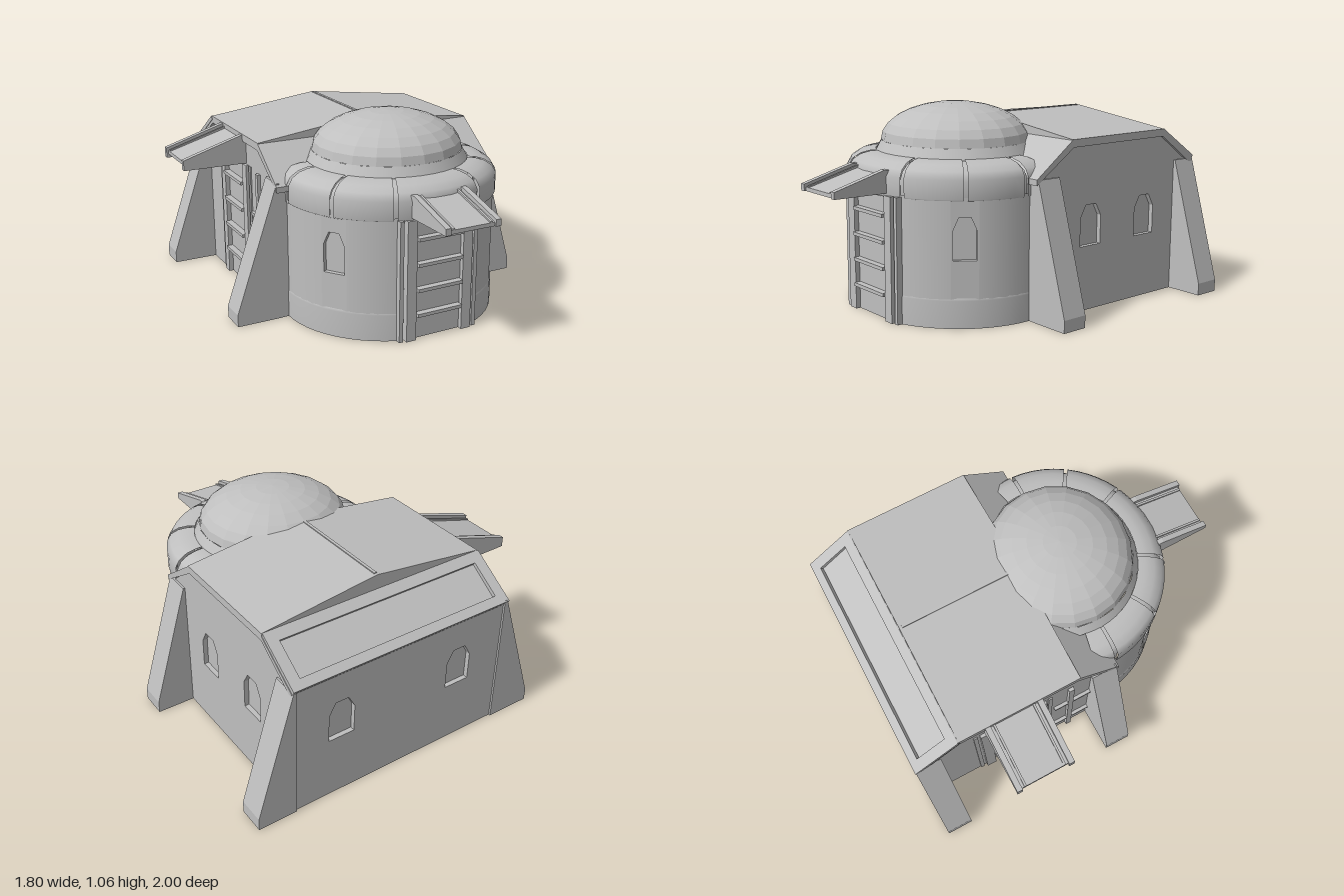
import * as THREE from 'three';

const plaster = new THREE.MeshStandardMaterial({ color: 0xbfbfbf, side: THREE.DoubleSide });
plaster.name = 'pale grey plaster';
const RAD = Math.PI / 180;
const CX = 0.067; // middle of the house across x

function add(parent, name, geometry, x = 0, y = 0, z = 0) {
  const mesh = new THREE.Mesh(geometry, plaster);
  mesh.name = name;
  mesh.position.set(x, y, z);
  parent.add(mesh);
  return mesh;
}

// Box given by its limits
function block(parent, name, x0, x1, y0, y1, z0, z1) {
  return add(parent, name, new THREE.BoxGeometry(x1 - x0, y1 - y0, z1 - z0),
    (x0 + x1) / 2, (y0 + y1) / 2, (z0 + z1) / 2);
}

const vectors = (pts) => pts.map(([a, b]) => new THREE.Vector2(a, b));
const outline = (pts) => new THREE.Shape(vectors(pts));
const extrude = (shape, depth) => new THREE.ExtrudeGeometry(shape, { depth, bevelEnabled: false });

// Opens a solid by removing the triangles lying wholly at one level of an axis
function openAt(geometry, axis, level) {
  const p = geometry.attributes.position;
  const kept = [];
  for (let i = 0; i < p.count; i += 3) {
    const flat = [i, i + 1, i + 2].every((k) => Math.abs(p.getComponent(k, axis) - level) < 1e-5);
    if (!flat) kept.push(i, i + 1, i + 2);
  }
  geometry.setIndex(kept);
  geometry.clearGroups();
  return geometry;
}

// Wall sheet at local z = 0 with recessed chamfer-headed windows
function wall(parent, name, pts, windows = [], w = 0.145) {
  const group = new THREE.Group();
  group.name = name;
  const shape = outline(pts);
  for (const c of windows) {
    const h = w / 2;
    const frame = [[c - h, 0.34], [c - h, 0.49], [c - h * 0.5, 0.555],
      [c + h * 0.5, 0.555], [c + h, 0.49], [c + h, 0.34]];
    shape.holes.push(new THREE.Path(vectors(frame)));
    add(group, 'windowRecess', openAt(extrude(outline(frame), 0.025), 2, 0.025), 0, 0, -0.025);
  }
  add(group, 'wallSheet', new THREE.ShapeGeometry(shape));
  parent.add(group);
  return group;
}

// Slatted door with jambs and edge strips, facing local +z
function door(parent, name, height) {
  const g = new THREE.Group();
  g.name = name;
  block(g, 'doorPanel', -0.135, 0.135, 0, height, -0.03, -0.02);
  for (let i = 1; i <= 4; i++) {
    const y = i * height * 0.21;
    block(g, 'doorSlat', -0.13, 0.13, y - 0.009, y + 0.009, -0.06, 0.016);
  }
  for (const s of [-1, 1]) {
    add(g, 'doorJamb', new THREE.BoxGeometry(0.055, height, 0.05), s * 0.162, height / 2, -0.02);
    add(g, 'jambStrip', new THREE.BoxGeometry(0.022, height, 0.06), s * 0.215, height / 2, -0.035);
  }
  parent.add(g);
  return g;
}

// Sloping canopy with two wedge cheeks, projecting along local +z
function awning(parent, name, depth, rise, tip, width) {
  const g = new THREE.Group();
  g.name = name;
  const slab = (profile, w) => extrude(outline(profile), w).rotateY(-Math.PI / 2); // (z, y) extruded to -x
  const cheek = [[-0.03, 0], [depth, 0.005], [depth, tip], [0, rise], [-0.03, rise]];
  for (const s of [-1, 1]) add(g, 'awningCheek', slab(cheek, 0.03), s * (width / 2 - 0.015) + 0.015);
  add(g, 'awningPanel', slab([[-0.03, rise - 0.04], [depth - 0.01, tip - 0.035],
    [depth - 0.01, tip - 0.015], [-0.03, rise - 0.015]], width - 0.06), width / 2 - 0.03);
  for (const s of [-1, 1]) {
    add(g, 'awningRail', slab([[-0.02, rise - 0.03], [depth - 0.01, tip - 0.025],
      [depth - 0.01, tip - 0.008], [-0.02, rise - 0.006]], 0.012), s * (width / 2 - 0.05) + 0.006);
  }
  parent.add(g);
  return g;
}

function lathe(parent, name, pts, from, to, steps) {
  return add(parent, name, new THREE.LatheGeometry(vectors(pts),
    steps, from * RAD, (to - from) * RAD));
}

function buildTower(parent) {
  const tower = new THREE.Group();
  tower.name = 'roundTower';
  tower.position.set(CX, 0, 0.165);
  tower.scale.z = 0.96;
  parent.add(tower);

  // Curved walls either side of the flat window bays
  const R = 0.576;
  for (const s of [-1, 1]) {
    for (const [a, b] of [[22, 48.5], [62.5, 98]]) {
      const [from, to] = s > 0 ? [a, b] : [-b, -a];
      lathe(tower, 'towerWall', [[R, 0.14], [R, 0.65]], from, to, 5);
    }
    const half = R * Math.sin(7 * RAD);
    const bay = wall(tower, 'towerWindowBay',
      [[-half, 0.14], [half, 0.14], [half, 0.65], [-half, 0.65]], [0], 0.118);
    const a = s * 55.5 * RAD, d = R * Math.cos(7 * RAD);
    bay.position.set(d * Math.sin(a), 0, d * Math.cos(a));
    bay.rotation.y = a;
    const [from, to] = s > 0 ? [22, 98] : [-98, -22];
    lathe(tower, 'towerPlinth', [[0.58, 0], [0.58, 0.14], [0.574, 0.152]], from, to, 12);
  }

  // Shoulder ring in sections separated by narrow recessed grooves
  const profile = [[0.57, 0.63], [0.584, 0.64], [0.584, 0.735], [0.562, 0.772], [0.52, 0.798],
    [0.47, 0.81], [0.43, 0.812]];
  const cuts = [-102, -88, -56, -24, 24, 56, 88, 102];
  for (let i = 0; i < cuts.length - 1; i++) {
    lathe(tower, 'shoulderSection', profile, cuts[i] + 1, cuts[i + 1] - 1, 5);
  }
  for (const c of cuts.slice(1, -1)) {
    lathe(tower, 'shoulderGroove', profile.map(([r, y]) => [r - 0.018, y - 0.012]), c - 2, c + 2, 1);
  }

  // Faceted, flattened dome on a sloping collar
  lathe(tower, 'domeCollar', [[0.432, 0.806], [0.402, 0.86]], 0, 360, 24);
  const cap = [];
  for (let i = 0; i <= 7; i++) {
    const t = (i / 7) * Math.PI / 2;
    cap.push([0.402 * Math.cos(t), 0.86 + 0.197 * Math.sin(t)]);
  }
  const dome = new THREE.LatheGeometry(vectors(cap), 20).toNonIndexed();
  dome.computeVertexNormals();
  add(tower, 'dome', dome);
}

function buildHouse(parent) {
  const house = new THREE.Group();
  house.name = 'houseBlock';
  parent.add(house);

  // Side walls: a = -z on the left side, mirrored with a doorway on the right side
  const upper = [[0.985, 0.715], [0.74, 0.875], [0.06, 0.875], [-0.155, 0.69]];
  const left = wall(house, 'leftWall', [[-0.155, 0], [0.985, 0], ...upper], [0.218, 0.62]);
  left.rotation.y = Math.PI / 2;
  left.position.x = 0.695;
  const doorway = [[-0.155, 0], [0.305, 0], [0.305, 0.72], [0.575, 0.72], [0.575, 0], [0.985, 0]];
  const right = wall(house, 'rightWall', [...doorway, ...upper].map(([a, y]) => [-a, y]).reverse());
  right.rotation.y = -Math.PI / 2;
  right.position.x = -0.55;
  const back = wall(house, 'backWall', [[-0.695, 0], [0.55, 0], [0.55, 0.72], [-0.695, 0.72]], [-0.43, 0.28]);
  back.rotation.y = Math.PI;
  back.position.z = -0.985;
  for (const [x0, x1] of [[-0.55, -0.49], [0.63, 0.695]]) {
    wall(house, 'frontWall', [[x0, 0], [x1, 0], [x1, 0.7], [x0, 0.7]]).position.z = 0.155;
  }

  // Folded roof slab
  const roof = extrude(outline([[-0.17, 0.695], [-0.17, 0.725], [0.07, 0.9], [0.75, 0.9], [0.742, 0.885],
    [0.988, 0.715], [0.975, 0.695], [0.74, 0.86], [0.075, 0.86]]), 1.28);
  add(house, 'roof', roof.rotateY(Math.PI / 2), -0.57, 0, 0);

  // Low gable over the flat part and its ridge strip
  const gable = extrude(outline([[-0.57, 0.885], [0.71, 0.885], [0.71, 0.9], [CX, 0.98], [-0.57, 0.9]]), 0.68);
  add(house, 'roofGable', openAt(gable, 1, 0.885), 0, 0, -0.745);
  block(house, 'ridgeStrip', CX - 0.008, CX + 0.008, 0.97, 0.984, -0.73, -0.08);

  // Raised border around the rear slope panel
  const border = outline([[-0.64, -0.3], [0.64, -0.3], [0.64, 0], [-0.64, 0]]);
  border.holes.push(new THREE.Path(vectors([[-0.58, -0.25], [-0.58, -0.055], [0.58, -0.055], [0.58, -0.25]])));
  const rim = extrude(border, 0.022).translate(0, 0, -0.022).rotateX(-0.987).rotateY(Math.PI);
  add(house, 'rearRoofBorder', rim, CX, 0.9, -0.75);

  // Tapered hollow corner buttresses, open underneath
  for (const z of [0.015, -0.995]) {
    for (const [s, x, w, h] of [[1, 0.69, 0.21, 0.72], [-1, -0.55, 0.25, 0.74]]) {
      const pts = [[0, 0], [w, 0], [w, 0.065], [0.015, h], [0, h]].map(([a, y]) => [x + s * a, y]);
      add(house, 'buttress', openAt(extrude(outline(pts), 0.142), 1, 0), 0, 0, z);
    }
  }

  // Ledges and pilaster on the wall beside the side door
  for (const y of [0.14, 0.47]) block(house, 'sideLedge', -0.568, -0.48, y, y + 0.016, -0.2, 0.015);
  block(house, 'sidePilaster', -0.568, -0.545, 0, 0.72, -0.12, -0.09);
}

export function createModel() {
  const model = new THREE.Group();
  model.name = 'domedHouse';
  buildHouse(model);
  buildTower(model);

  // Doors and their canopies
  door(model, 'frontDoor', 0.64).position.set(CX, 0, 0.71);
  awning(model, 'frontAwning', 0.28, 0.115, 0.04, 0.31).position.set(CX - 0.007, 0.65, 0.72);
  const sideDoor = door(model, 'sideDoor', 0.73);
  sideDoor.position.set(-0.562, 0, -0.44);
  sideDoor.rotation.y = -Math.PI / 2;
  const sideAwning = awning(model, 'sideAwning', 0.33, 0.16, 0.06, 0.32);
  sideAwning.position.set(-0.572, 0.735, -0.44);
  sideAwning.rotation.y = -Math.PI / 2;
  return model;
}
